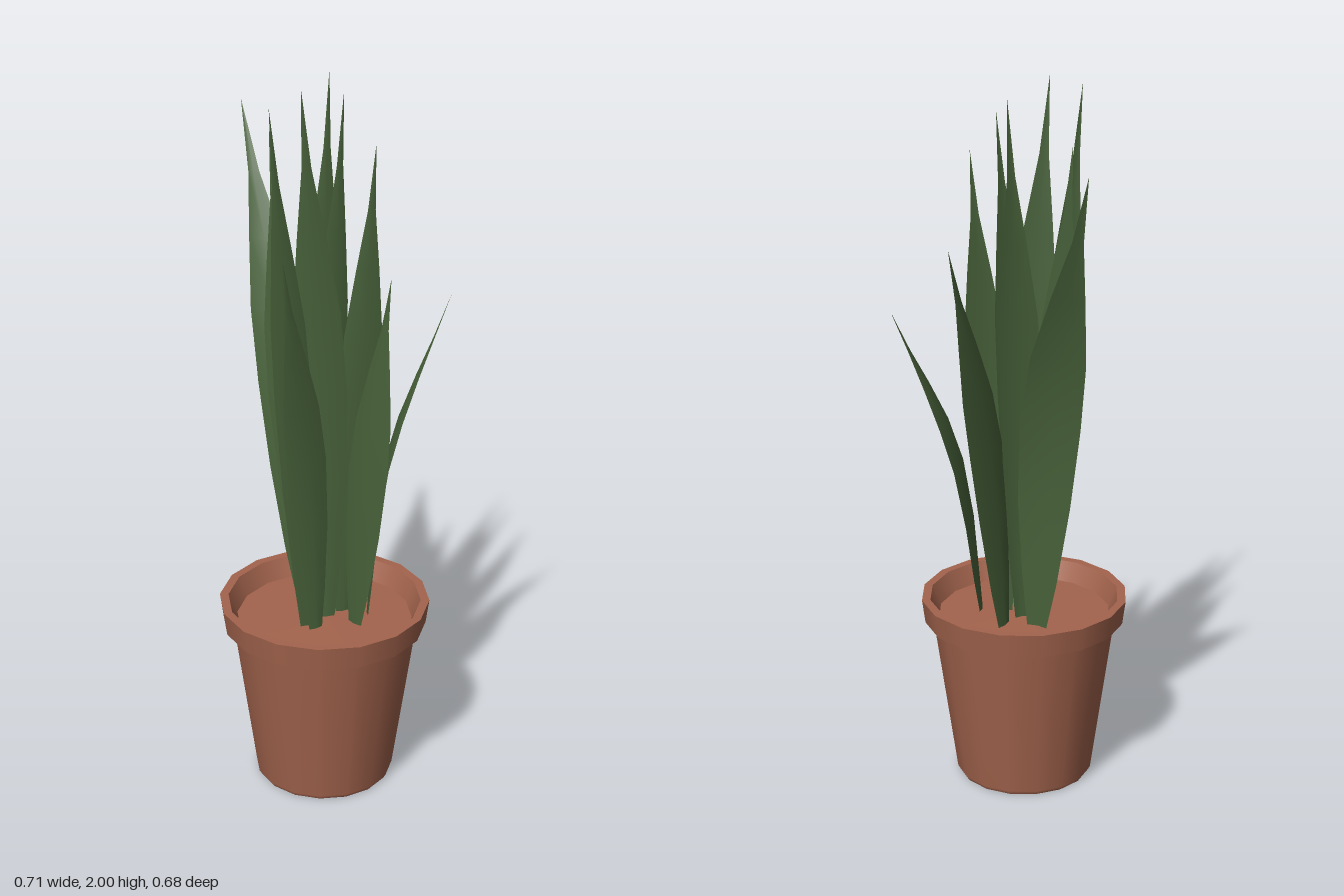
import * as THREE from 'three';

const SIDES = 16;
const terracotta = new THREE.MeshStandardMaterial({ color: 0xa3644d });
const leafGreen = new THREE.MeshStandardMaterial({ color: 0x48623a, side: THREE.DoubleSide });

// Relative half-width of a blade at rising fractions of its height
const BLADE = [[0, 0.3], [0.12, 0.58], [0.3, 0.88], [0.48, 1], [0.62, 0.9], [0.75, 0.55], [0.87, 0.18], [1, 0]];

// Each leaf: base, middle and tip of its midrib, direction across the blade (x, z), full width
const LEAVES = [
  [[-0.03, 0.47, -0.01], [-0.11, 1.13, -0.045], [-0.355, 1.84, -0.195], [1, -0.25], 0.18],
  [[0.045, 0.47, -0.06], [0.03, 1.05, -0.15], [-0.02, 1.63, -0.34], [0.12, 1], 0.15],
  [[0.165, 0.47, -0.02], [0.19, 0.95, -0.09], [0.285, 1.39, -0.24], [0.5, 0.85], 0.12],
  [[0.165, 0.47, 0.05], [0.21, 0.98, 0.06], [0.28, 1.53, 0.075], [1, 0.2], 0.135],
  [[0.09, 0.47, 0.13], [0.077, 1.02, 0.16], [0.085, 1.6, 0.28], [0.45, -0.9], 0.12],
  [[0.06, 0.47, 0.13], [0.04, 1.2, 0.165], [0.015, 1.97, 0.23], [0.5, -0.85], 0.11],
  [[0.01, 0.47, 0.03], [-0.045, 1.15, 0.045], [-0.11, 1.85, 0.04], [1, -0.3], 0.13],
  [[0.04, 0.47, 0.01], [0, 1.2, -0.04], [-0.03, 1.98, -0.125], [0.5, -0.85], 0.12],
  [[0.1, 0.47, 0.01], [0.125, 1.15, -0.03], [0.14, 1.82, -0.08], [0.6, -0.8], 0.12],
  [[0.08, 0.47, 0.06], [0.065, 1.2, 0.07], [0.045, 2, 0.13], [0.75, -0.6], 0.14],
  [[0.06, 0.47, 0.03], [0.045, 1.2, -0.01], [0.03, 1.94, -0.1], [0.4, -0.9], 0.11],
];

// A tapering blade, lightly folded along its midrib
function makeLeaf([base, mid, tip, across, width]) {
  const curve = new THREE.CatmullRomCurve3([base, mid, tip].map((p) => new THREE.Vector3(...p)));
  const side = new THREE.Vector3(across[0], 0, across[1]).normalize();
  const fold = new THREE.Vector3(-side.z, 0, side.x);
  const positions = [], index = [];
  BLADE.forEach(([t, w], row) => {
    const centre = curve.getPoint(t);
    const half = (w * width) / 2;
    for (const s of [-1, 0, 1]) {
      const p = centre.clone().addScaledVector(side, s * half);
      if (s === 0) p.addScaledVector(fold, half * 0.2);
      positions.push(p.x, p.y, p.z);
    }
    if (row === 0) return;
    for (let c = 0; c < 2; c++) {
      const a = (row - 1) * 3 + c, b = a + 3;
      index.push(a, a + 1, b, a + 1, b + 1, b);
    }
  });
  const geometry = new THREE.BufferGeometry();
  geometry.setAttribute('position', new THREE.Float32BufferAttribute(positions, 3));
  geometry.setIndex(index);
  geometry.computeVertexNormals();
  return new THREE.Mesh(geometry, leafGreen);
}

// One smooth band of the pot; separate bands keep the edges between them sharp
function band(name, profile) {
  const points = profile.map(([r, y]) => new THREE.Vector2(r, y));
  const geometry = new THREE.LatheGeometry(points, SIDES, THREE.MathUtils.degToRad(6));
  const mesh = new THREE.Mesh(geometry, terracotta);
  mesh.name = name;
  return mesh;
}

export function createModel() {
  const model = new THREE.Group();
  model.name = 'pottedPlant';

  const pot = new THREE.Group();
  pot.name = 'pot';
  pot.position.set(0.067, 0, 0.05);
  pot.add(
    band('potBase', [[0, 0], [0.187, 0]]),
    band('potWall', [[0.187, 0], [0.194, 0.012], [0.258, 0.472]]),
    band('rimUnderside', [[0.25, 0.472], [0.282, 0.472]]),
    band('rimOuter', [[0.282, 0.472], [0.291, 0.54]]),
    band('rimTop', [[0.291, 0.54], [0.267, 0.54]]),
    band('rimInner', [[0.267, 0.54], [0.243, 0.485]]),
    band('soil', [[0.243, 0.485], [0, 0.49]]),
  );
  model.add(pot);

  const leaves = new THREE.Group();
  leaves.name = 'leaves';
  LEAVES.forEach((spec, i) => {
    const leaf = makeLeaf(spec);
    leaf.name = `leaf${i + 1}`;
    leaves.add(leaf);
  });
  model.add(leaves);
  return model;
}
